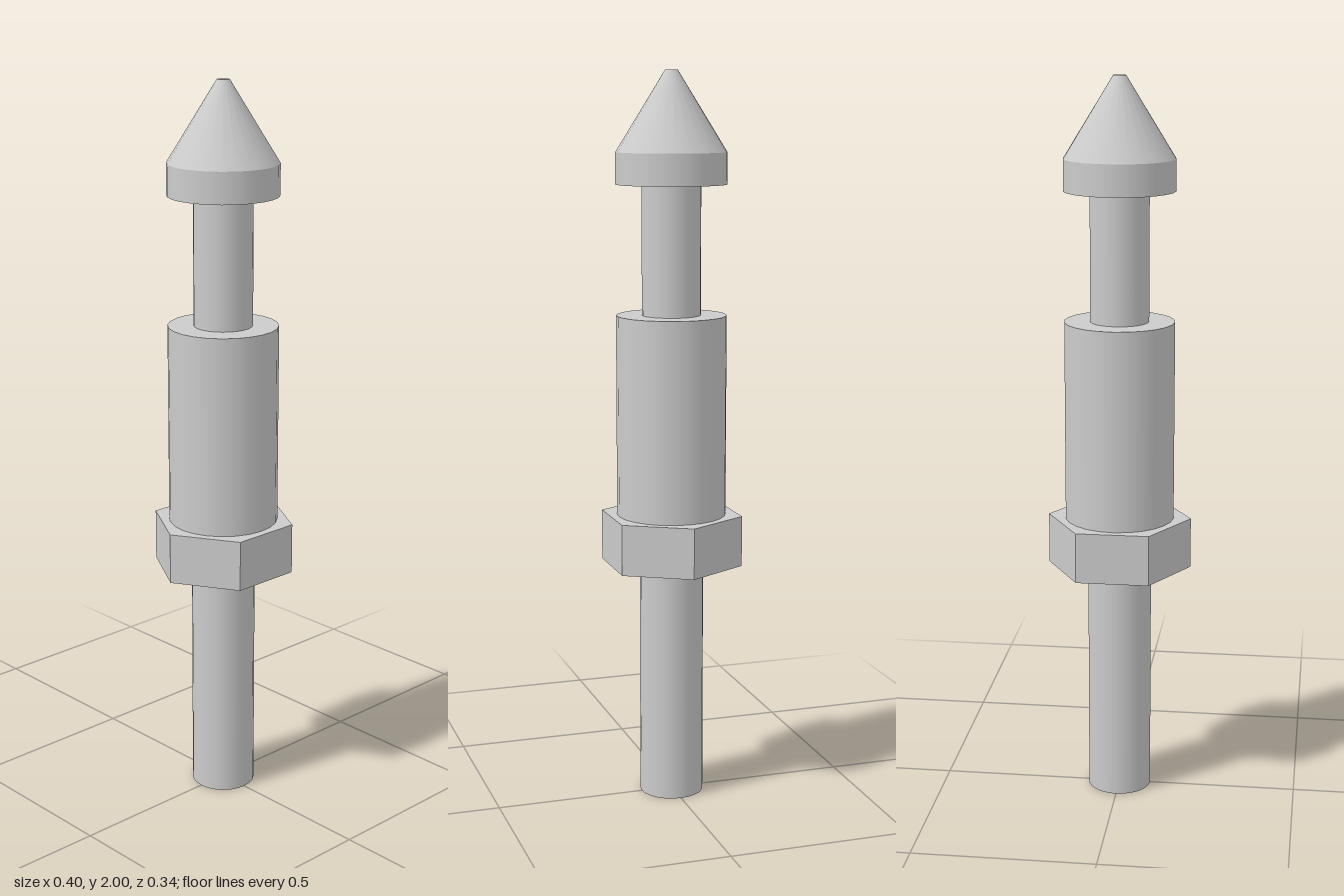
import * as THREE from 'three';

const material = new THREE.MeshStandardMaterial({ color: 0xcccccc });
const nutMaterial = new THREE.MeshStandardMaterial({ color: 0xcccccc, flatShading: true });

export function createModel() {
  const group = new THREE.Group();

  // One turned section between two heights
  function section(name, bottom, top, rBottom, rTop = rBottom, sides = 24, open = false) {
    const geometry = new THREE.CylinderGeometry(
      rTop, rBottom, top - bottom, sides, 1, open, sides === 6 ? Math.PI / 6 : 0);
    const mesh = new THREE.Mesh(geometry, sides === 6 ? nutMaterial : material);
    mesh.name = name;
    mesh.position.y = (bottom + top) / 2;
    group.add(mesh);
  }

  // Lower pin, hexagonal nut and main barrel
  section('lowerPin', 0, 0.66, 0.088);
  section('hexNut', 0.66, 0.8, 0.198, 0.198, 6);
  section('barrel', 0.8, 1.35, 0.15);

  // Narrow neck carrying the pointed head
  section('neck', 1.35, 1.7, 0.08);
  section('headCollar', 1.7, 1.785, 0.15);
  section('headCone', 1.785, 2, 0.15, 0.017);

  return group;
}
